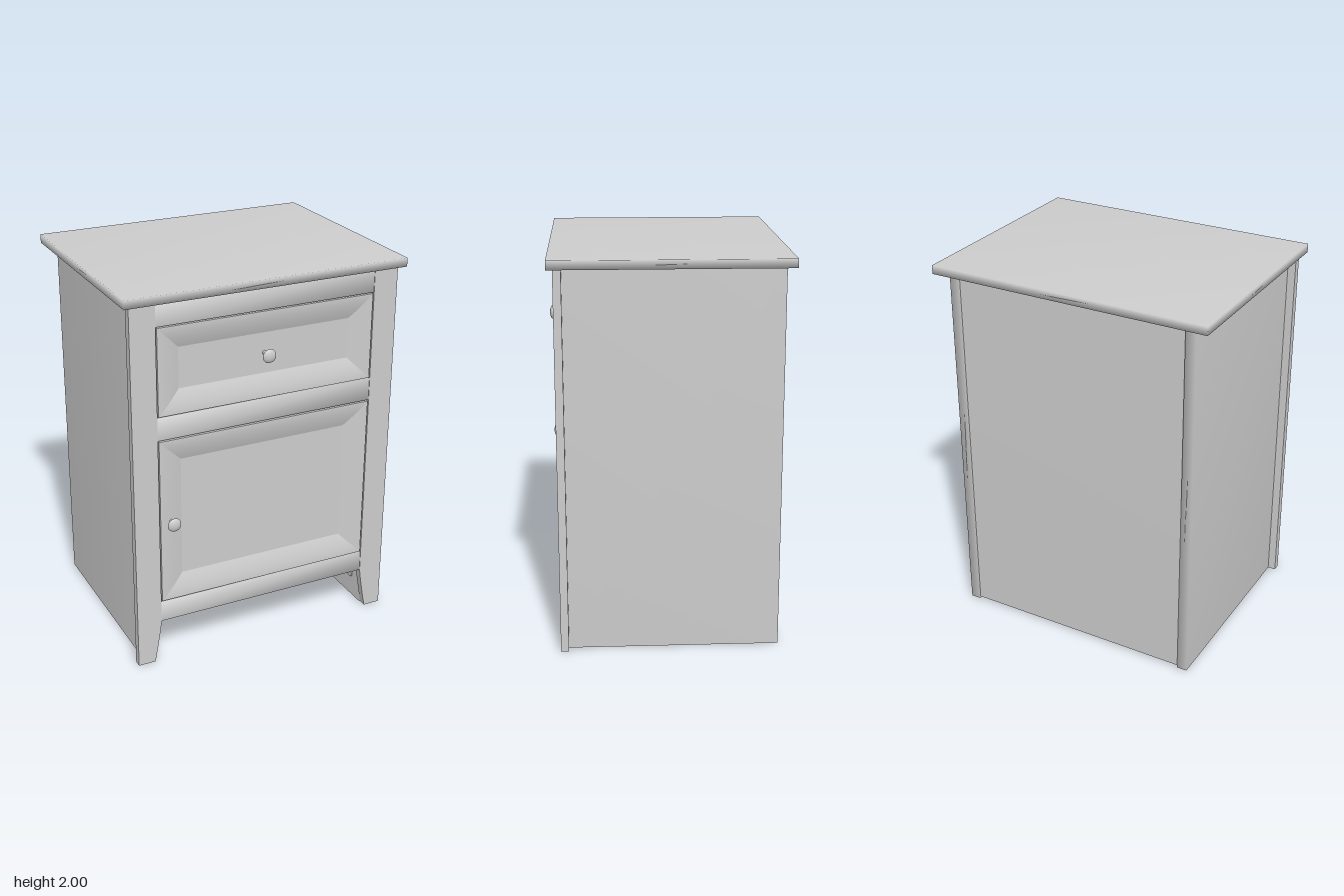
import * as THREE from 'three';
import { mergeVertices } from 'three/addons/utils/BufferGeometryUtils.js';

const paint = new THREE.MeshStandardMaterial({ color: 0xcccccc });
paint.name = 'grey paint';

const FRONT = 0.55; // front plane of the face frame
const BACK = 0.51;  // rear plane of the face frame

function add(parent, name, geometry) {
  const mesh = new THREE.Mesh(geometry, paint);
  mesh.name = name;
  parent.add(mesh);
  return mesh;
}

// Board between two corners; soft boards share normals over their edges
function board(parent, name, [x0, x1], [y0, y1], [z0, z1], soft = true) {
  let geo = new THREE.BoxGeometry(x1 - x0, y1 - y0, z1 - z0);
  geo.translate((x0 + x1) / 2, (y0 + y1) / 2, (z0 + z1) / 2);
  if (soft) {
    geo.deleteAttribute('normal');
    geo.deleteAttribute('uv');
    geo = mergeVertices(geo);
    geo.computeVertexNormals();
  }
  return add(parent, name, geo);
}

// One mitred side of a frame: rows of [inset fraction, z] between outer and inner corners
function mitredStrip(a, b, innerA, innerB, rows) {
  const positions = [], index = [];
  rows.forEach(([t, z], i) => {
    const p = a.clone().lerp(innerA, t), q = b.clone().lerp(innerB, t);
    positions.push(p.x, p.y, z, q.x, q.y, z);
    if (i > 0) {
      const k = 2 * (i - 1);
      index.push(k, k + 1, k + 3, k, k + 3, k + 2);
    }
  });
  const geo = new THREE.BufferGeometry();
  geo.setAttribute('position', new THREE.Float32BufferAttribute(positions, 3));
  geo.setIndex(index);
  geo.computeVertexNormals();
  return geo;
}

// Recessed panel with a moulded, mitred frame
function framedPanel(name, halfWidth, y0, y1, inset) {
  const group = new THREE.Group();
  group.name = name;
  const recess = 0.03;
  const corners = (d) => [
    new THREE.Vector2(-halfWidth + d, y0 + d), new THREE.Vector2(halfWidth - d, y0 + d),
    new THREE.Vector2(halfWidth - d, y1 - d), new THREE.Vector2(-halfWidth + d, y1 - d),
  ];
  const outer = corners(0), inner = corners(inset);
  const moulding = [[0, FRONT], [0.06, FRONT]];
  for (let i = 1; i <= 8; i++) {
    const t = i / 8;
    moulding.push([0.06 + 0.94 * t, FRONT - recess * Math.pow(t, 1.6)]);
  }
  for (let i = 0; i < 4; i++) {
    const j = (i + 1) % 4;
    add(group, 'frameMoulding', mitredStrip(outer[i], outer[j], inner[i], inner[j], moulding));
    add(group, 'frameRim', mitredStrip(outer[i], outer[j], inner[i], inner[j], [[0, BACK], [0, FRONT]]));
  }
  board(group, 'recessedPanel', [-halfWidth, halfWidth], [y0, y1], [0.495, FRONT - recess], false);
  return group;
}

// Turned knob with a slim stem and a domed head
function knob(name, x, y, tip) {
  const profile = [
    [0, -0.08], [0.011, -0.08], [0.011, -0.022], [0.018, -0.021], [0.034, -0.018],
    [0.036, -0.015], [0.033, -0.009], [0.022, -0.003], [0.01, -0.0005], [0, 0],
  ].map(([r, h]) => new THREE.Vector2(r, h));
  const geo = new THREE.LatheGeometry(profile, 24);
  geo.rotateX(Math.PI / 2);
  geo.translate(x, y, tip);
  const mesh = new THREE.Mesh(geo, paint);
  mesh.name = name;
  return mesh;
}

// Front stile running down into a tapered foot
function stile(parent, name, s) {
  const shape = new THREE.Shape();
  shape.moveTo(s * 0.59, 1.955);
  shape.lineTo(s * 0.722, 1.955);
  shape.lineTo(s * 0.722, 0);
  shape.lineTo(s * 0.63, 0);
  shape.quadraticCurveTo(s * 0.602, 0.14, s * 0.59, 0.235);
  const geo = new THREE.ExtrudeGeometry(shape, { depth: FRONT - BACK, bevelEnabled: false, curveSegments: 8 });
  geo.translate(0, 0, BACK);
  add(parent, name, geo);
}

export function createModel() {
  const model = new THREE.Group();
  model.name = 'bedsideCabinet';

  // Carcass
  board(model, 'top', [-0.755, 0.755], [1.955, 2], [-0.6, 0.58]);
  board(model, 'backPanel', [-0.625, 0.625], [0.01, 1.955], [-0.555, -0.525]);
  board(model, 'floor', [-0.625, 0.625], [0.235, 0.27], [-0.525, BACK], false);

  // Sides, stiles and inner fixings
  for (const s of [-1, 1]) {
    const side = s < 0 ? 'right' : 'left';
    const xs = s < 0 ? [-0.68, -0.625] : [0.625, 0.68];
    board(model, side + 'SidePanel', xs, [0, 1.955], [-0.56, BACK]);
    stile(model, side + 'FrontStile', s);
    for (const [y, z] of [[0.13, 0.4], [0.16, -0.35]]) {
      const cap = add(model, side + 'FixingCap', new THREE.CylinderGeometry(0.022, 0.022, 0.008, 16));
      cap.rotation.z = Math.PI / 2;
      cap.position.set(s * 0.623, y, z);
    }
  }

  // Front rails
  const rails = { topRail: [1.835, 1.955], middleRail: [1.253, 1.372], bottomRail: [0.235, 0.347] };
  for (const [name, ys] of Object.entries(rails)) {
    board(model, name, [-0.59, 0.59], ys, [BACK, FRONT - 0.003]);
  }

  // Drawer and door
  const drawer = framedPanel('drawer', 0.584, 1.378, 1.83, 0.12);
  drawer.add(knob('drawerKnob', -0.005, 1.605, 0.59));
  const door = framedPanel('door', 0.584, 0.354, 1.247, 0.125);
  door.add(knob('doorKnob', -0.525, 0.8, 0.6));
  model.add(drawer, door);

  return model;
}
